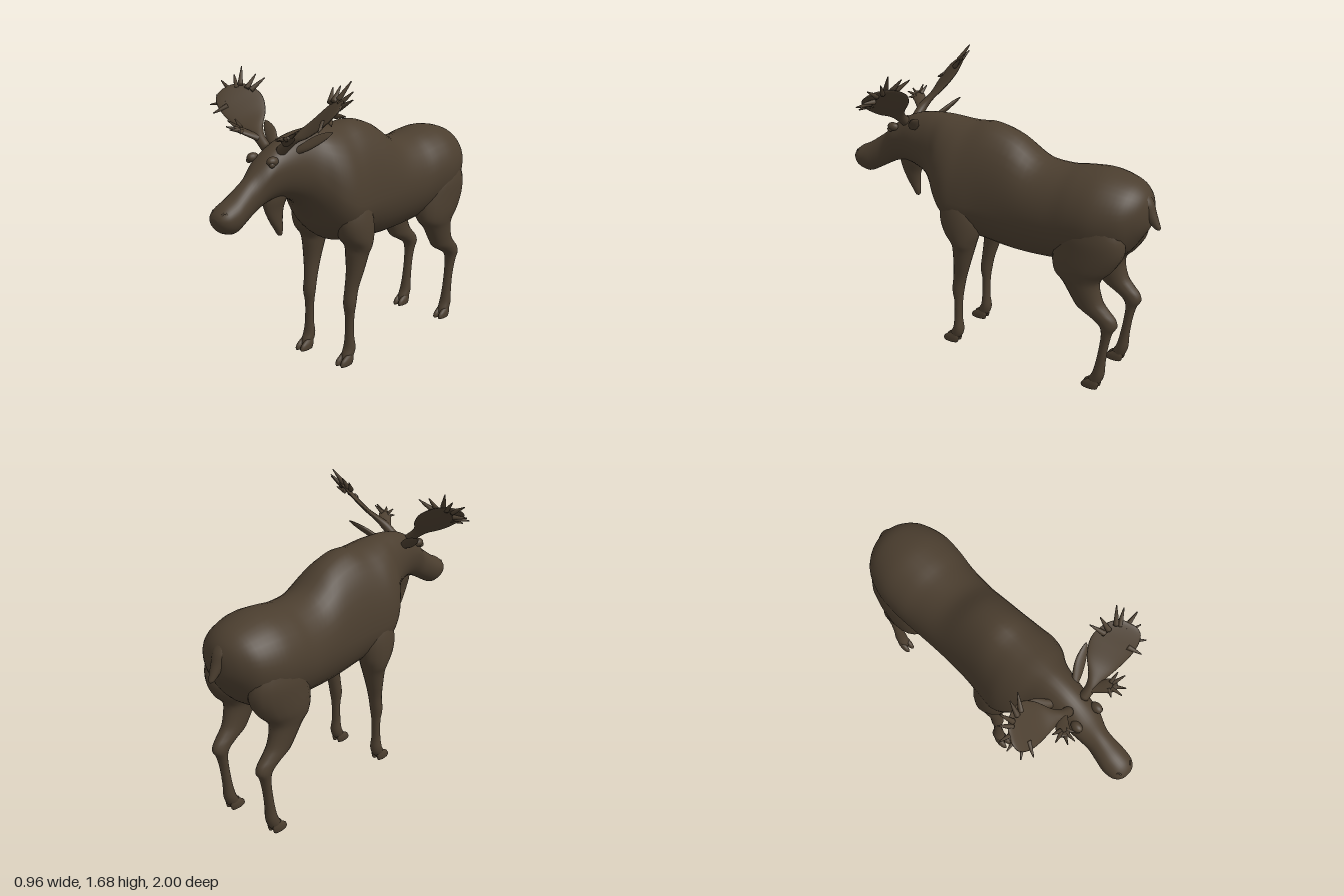
import * as THREE from 'three';

const hide = new THREE.MeshStandardMaterial({ color: 0x4b3e2f });
hide.name = 'dark brown hide';

// Catmull-Rom blend of one number
function blend(a, b, c, d, t) {
  const m = (c - a) / 2, n = (d - b) / 2;
  return b + m * t + (3 * (c - b) - 2 * m - n) * t * t + (2 * (b - c) + m + n) * t * t * t;
}

// Skin through cross-sections: rows are smoothed, place(row, cos, sin) gives a surface point
function loft(name, rows, place, seg = 20, steps = 4) {
  const pos = [], idx = [], dense = [];
  const at = i => rows[Math.min(Math.max(i, 0), rows.length - 1)];
  for (let i = 0; i < rows.length - 1; i++)
    for (let k = 0; k < steps; k++)
      dense.push(rows[i].map((_, c) => blend(at(i - 1)[c], at(i)[c], at(i + 1)[c], at(i + 2)[c], k / steps)));
  dense.push(rows[rows.length - 1]);
  for (const row of dense)
    for (let j = 0; j < seg; j++) {
      const a = j / seg * Math.PI * 2;
      pos.push(...place(row, Math.cos(a), Math.sin(a)));
    }
  const n = dense.length, ends = [0, (n - 1) * seg];
  for (const start of ends) {
    const mid = [0, 0, 0];
    for (let j = 0; j < seg; j++) for (let c = 0; c < 3; c++) mid[c] += pos[(start + j) * 3 + c] / seg;
    pos.push(...mid);
  }
  for (let j = 0; j < seg; j++) {
    const k = (j + 1) % seg;
    for (let i = 0; i < n - 1; i++) {
      const a = i * seg + j, b = i * seg + k;
      idx.push(a, b, a + seg, b, b + seg, a + seg);
    }
    idx.push(n * seg, k, j, n * seg + 1, ends[1] + j, ends[1] + k);
  }
  // turn the faces outward
  const p = i => new THREE.Vector3().fromArray(pos, i * 3);
  let volume = 0;
  for (let i = 0; i < idx.length; i += 3) volume += p(idx[i]).dot(p(idx[i + 1]).cross(p(idx[i + 2])));
  if (volume < 0) idx.reverse();
  const geo = new THREE.BufferGeometry();
  geo.setAttribute('position', new THREE.Float32BufferAttribute(pos, 3));
  geo.setIndex(idx);
  geo.computeVertexNormals();
  const mesh = new THREE.Mesh(geo, hide);
  mesh.name = name;
  return mesh;
}

// Upright part, rows: [y, front z, back z, inner x, outer x]
const column = (name, rows, side, seg = 18) => loft(name, rows, ([y, f, b, i, o], c, s) =>
  [side * ((i + o) / 2 + (o - i) / 2 * c), y, (f + b) / 2 + (f - b) / 2 * s], seg);

// Flat blade, rows: [x, y, z, half width, half thickness], widening along the vector across
function blade(name, rows, across, side, seg = 16) {
  const first = new THREE.Vector3(...rows[0]), last = new THREE.Vector3(...rows[rows.length - 1]);
  const axis = last.sub(first).normalize();
  const n = new THREE.Vector3().crossVectors(axis, across).normalize();
  const w = new THREE.Vector3().crossVectors(n, axis).normalize();
  return loft(name, rows, ([x, y, z, hw, th], c, s) => [
    side * (x + w.x * hw * c + n.x * th * s),
    y + w.y * hw * c + n.y * th * s,
    z + w.z * hw * c + n.z * th * s], seg);
}

// Pointed tine starting part of the way from a centre to its tip
function tine(name, centre, tip, from, radius, side) {
  const row = (t, r) => [...centre.map((c, i) => c + (tip[i] - c) * t), r, r];
  const mid = (from + 1) / 2;
  return blade(name, [row(from, radius), row(mid, radius * 0.62), row(1, 0.003)],
    new THREE.Vector3(0.3, 0.2, 1), side, 8);
}

function ball(name, x, y, z, sx, sy, sz) {
  const mesh = new THREE.Mesh(new THREE.SphereGeometry(1, 16, 12), hide);
  mesh.name = name;
  mesh.position.set(x, y, z);
  mesh.scale.set(sx, sy, sz);
  return mesh;
}

// Rump to nose: [z, top, widest height, bottom, half width]
const bodyRows = [
  [-0.945, 1.07, 1.03, 0.99, 0.02], [-0.935, 1.12, 1.04, 0.96, 0.07], [-0.9, 1.175, 1.04, 0.9, 0.145],
  [-0.83, 1.22, 1.02, 0.8, 0.215], [-0.7, 1.25, 1, 0.72, 0.258], [-0.57, 1.243, 0.98, 0.7, 0.258],
  [-0.45, 1.228, 0.95, 0.685, 0.245], [-0.3, 1.245, 0.95, 0.67, 0.235], [-0.15, 1.34, 0.95, 0.67, 0.23],
  [0, 1.385, 0.95, 0.69, 0.235], [0.12, 1.375, 0.95, 0.705, 0.25], [0.21, 1.375, 0.97, 0.73, 0.255],
  [0.29, 1.38, 1.02, 0.8, 0.225], [0.36, 1.38, 1.1, 0.905, 0.17], [0.43, 1.375, 1.17, 0.985, 0.135],
  [0.52, 1.355, 1.2, 1.03, 0.115], [0.6, 1.32, 1.2, 1.045, 0.1], [0.68, 1.265, 1.18, 1.03, 0.09],
];
const headRows = [
  [0.76, 1.195, 1.1, 0.99, 0.07], [0.83, 1.145, 1.05, 0.95, 0.075], [0.89, 1.105, 1.02, 0.922, 0.082],
  [0.95, 1.075, 1.01, 0.935, 0.075], [0.985, 1.045, 1.01, 0.965, 0.05], [0.998, 1.02, 1.01, 0.995, 0.02],
];

const foreRows = [
  [1, 0.22, 0.06, 0.12, 0.22], [0.92, 0.25, 0.03, 0.1, 0.25], [0.84, 0.26, 0.01, 0.08, 0.264],
  [0.76, 0.235, 0.015, 0.08, 0.266], [0.7, 0.185, 0.035, 0.09, 0.258], [0.65, 0.18, 0.05, 0.1, 0.24],
  [0.55, 0.18, 0.08, 0.115, 0.22], [0.45, 0.19, 0.11, 0.12, 0.2], [0.36, 0.2, 0.13, 0.12, 0.198],
  [0.28, 0.19, 0.14, 0.13, 0.187], [0.17, 0.192, 0.143, 0.131, 0.187], [0.1, 0.2, 0.135, 0.124, 0.196],
  [0.06, 0.22, 0.14, 0.125, 0.195], [0.03, 0.23, 0.16, 0.13, 0.19],
];
const hindRows = [
  [1.02, -0.58, -0.82, 0.1, 0.24], [0.93, -0.5, -0.865, 0.06, 0.262], [0.84, -0.465, -0.865, 0.045, 0.266],
  [0.75, -0.46, -0.815, 0.06, 0.264], [0.69, -0.48, -0.76, 0.085, 0.255], [0.64, -0.53, -0.745, 0.1, 0.243],
  [0.55, -0.585, -0.77, 0.11, 0.228], [0.5, -0.62, -0.81, 0.115, 0.22], [0.46, -0.69, -0.848, 0.12, 0.212],
  [0.42, -0.75, -0.858, 0.123, 0.207], [0.37, -0.77, -0.832, 0.13, 0.2], [0.28, -0.763, -0.813, 0.135, 0.193],
  [0.17, -0.746, -0.802, 0.134, 0.194], [0.1, -0.73, -0.8, 0.128, 0.2], [0.06, -0.71, -0.79, 0.129, 0.2],
  [0.03, -0.7, -0.775, 0.134, 0.195],
];

function addLeg(group, name, rows, toeZ, toeX, side) {
  const leg = new THREE.Group();
  leg.name = name;
  leg.add(column(name + 'Limb', rows, side));
  // cloven hoof
  for (const k of [-1, 1]) {
    const x = toeX + k * 0.019;
    leg.add(column('hoofToe', [
      [0, toeZ, toeZ - 0.095, x - 0.017, x + 0.017], [0.012, toeZ + 0.003, toeZ - 0.1, x - 0.019, x + 0.019],
      [0.035, toeZ - 0.012, toeZ - 0.105, x - 0.019, x + 0.019], [0.06, toeZ - 0.05, toeZ - 0.1, x - 0.014, x + 0.014],
    ], side, 12));
  }
  group.add(leg);
}

function addAntler(group, side) {
  const antler = new THREE.Group();
  antler.name = side > 0 ? 'leftAntler' : 'rightAntler';
  const across = new THREE.Vector3(0.09, -0.11, 0.21);
  // beam opening into the palm
  antler.add(blade('palm', [
    [0.05, 1.3, 0.58, 0.028, 0.028], [0.11, 1.35, 0.575, 0.03, 0.026], [0.16, 1.39, 0.56, 0.05, 0.018],
    [0.22, 1.435, 0.535, 0.092, 0.013], [0.29, 1.49, 0.52, 0.118, 0.011], [0.355, 1.535, 0.518, 0.11, 0.01],
    [0.4, 1.563, 0.518, 0.08, 0.009], [0.42, 1.575, 0.518, 0.035, 0.006],
  ], across, side, 24));
  for (const tip of [
    [0.25, 1.63, 0.395], [0.31, 1.645, 0.405], [0.4, 1.68, 0.425], [0.435, 1.635, 0.45],
    [0.48, 1.605, 0.505], [0.472, 1.53, 0.55], [0.445, 1.49, 0.62], [0.385, 1.455, 0.65],
  ]) antler.add(tine('palmTine', [0.325, 1.515, 0.518], tip, 0.45, 0.016, side));
  // small forward palm
  antler.add(blade('browPalm', [
    [0.1, 1.345, 0.58, 0.022, 0.018], [0.14, 1.37, 0.615, 0.032, 0.015],
    [0.17, 1.39, 0.645, 0.038, 0.012], [0.195, 1.405, 0.67, 0.02, 0.008],
  ], new THREE.Vector3(1, 0.2, -1), side));
  for (const tip of [[0.13, 1.385, 0.69], [0.17, 1.405, 0.725], [0.21, 1.415, 0.715], [0.25, 1.435, 0.668], [0.235, 1.44, 0.63]])
    antler.add(tine('browTine', [0.165, 1.388, 0.64], tip, 0.25, 0.013, side));
  group.add(antler);
}

export function createModel() {
  const group = new THREE.Group();
  group.name = 'moose';
  group.add(loft('bodyAndHead', [...bodyRows, ...headRows], ([z, top, wide, low, hw], c, s) =>
    [hw * c, wide + (s > 0 ? top - wide : wide - low) * s, z], 36));

  // throat flap
  group.add(column('dewlap', [
    [1.1, 0.66, 0.48, -0.05, 0.05], [1.04, 0.665, 0.5, -0.045, 0.045], [0.98, 0.65, 0.525, -0.032, 0.032],
    [0.92, 0.62, 0.532, -0.026, 0.026], [0.87, 0.587, 0.532, -0.022, 0.022], [0.835, 0.565, 0.537, -0.014, 0.014],
    [0.828, 0.557, 0.545, -0.005, 0.005],
  ], 1));

  group.add(column('tail', [
    [1.17, -0.87, -0.9, -0.03, 0.03], [1.12, -0.87, -0.945, -0.045, 0.045], [1.06, -0.89, -0.968, -0.038, 0.038],
    [1.01, -0.93, -0.988, -0.026, 0.026], [0.98, -0.96, -0.999, -0.016, 0.016], [0.968, -0.978, -0.992, -0.005, 0.005],
  ], 1));

  for (const side of [1, -1]) {
    const label = side > 0 ? 'left' : 'right';
    addLeg(group, label + 'FrontLeg', foreRows, 0.262, 0.16, side);
    addLeg(group, label + 'HindLeg', hindRows, -0.672, 0.165, side);
    addAntler(group, side);
    group.add(blade(label + 'Ear', [
      [0.07, 1.285, 0.5, 0.016, 0.014], [0.12, 1.315, 0.47, 0.03, 0.016], [0.17, 1.35, 0.44, 0.034, 0.013],
      [0.22, 1.38, 0.415, 0.022, 0.009], [0.25, 1.398, 0.4, 0.004, 0.003],
    ], new THREE.Vector3(0, 1, -0.9), side));
    group.add(ball(label + 'Brow', side * 0.074, 1.265, 0.66, 0.026, 0.025, 0.036));
    group.add(ball(label + 'Eye', side * 0.086, 1.25, 0.675, 0.014, 0.015, 0.018));
    // nostril rim
    const nostril = new THREE.Mesh(new THREE.TorusGeometry(0.012, 0.005, 8, 16), hide);
    nostril.name = label + 'Nostril';
    nostril.position.set(side * 0.046, 1.04, 0.966);
    nostril.rotation.set(-0.4, side * 0.75, 0);
    group.add(nostril);
  }
  return group;
}
